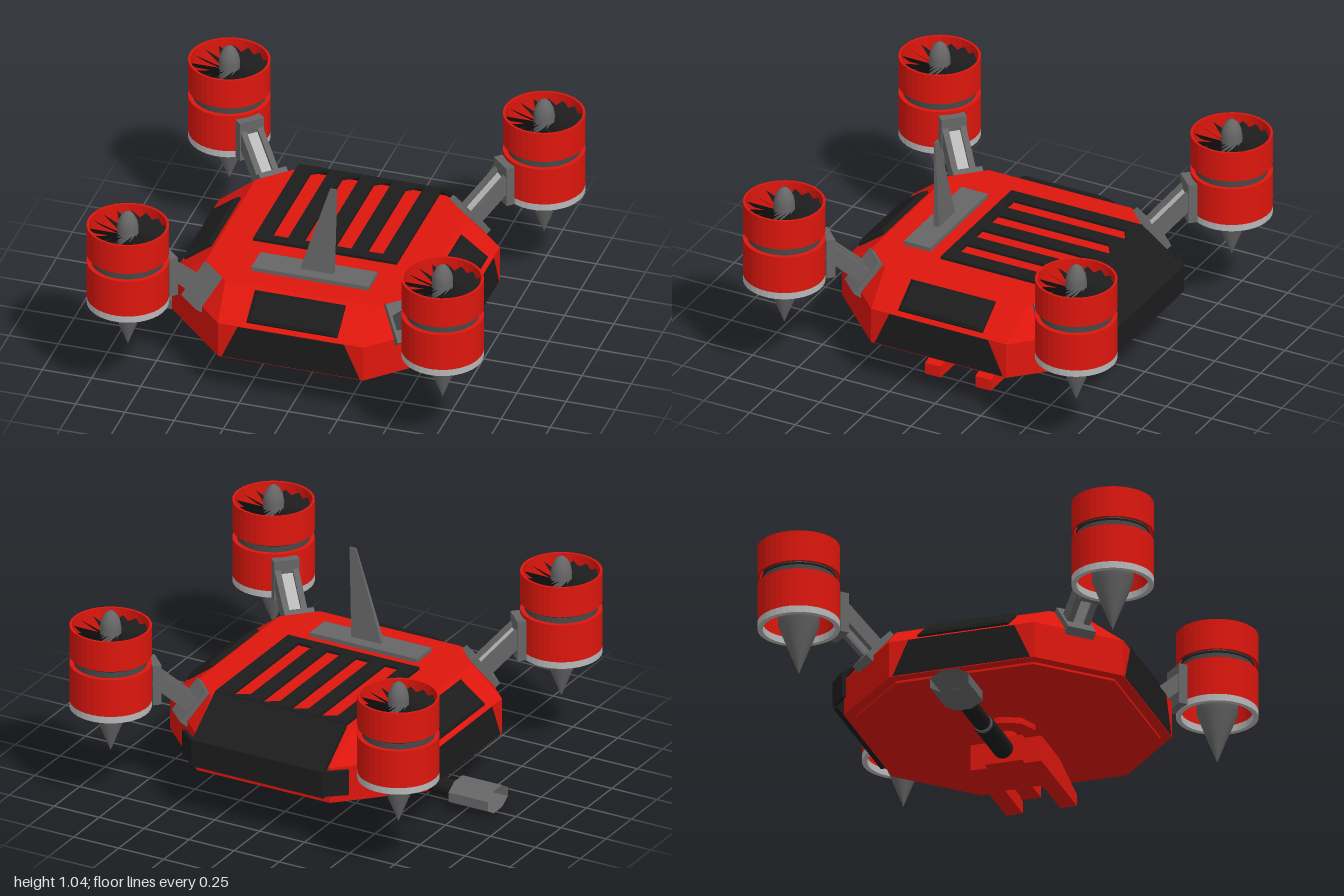
import * as THREE from 'three';

const mat = (color) => new THREE.MeshStandardMaterial({ color, side: THREE.DoubleSide });
const RED = mat(0xdd160d), BLACK = mat(0x1c1c1c), GREY = mat(0x666666), DARK = mat(0x484848), LIGHT = mat(0xb8b8b8);

function add(parent, name, geometry, material, x = 0, y = 0, z = 0) {
  const m = new THREE.Mesh(geometry, material);
  m.name = name;
  m.position.set(x, y, z);
  parent.add(m);
  return m;
}
const box = (w, h, d) => new THREE.BoxGeometry(w, h, d);

// Closed faceted solid through rings, each counter-clockwise seen from above
function loft(rings) {
  const p = [], n = rings[0].length;
  const tri = (...v) => v.forEach((c) => p.push(...c));
  for (let k = 0; k < rings.length - 1; k++) {
    const a = rings[k], b = rings[k + 1];
    for (let i = 0; i < n; i++) {
      const j = (i + 1) % n;
      tri(a[i], a[j], b[j]);
      tri(a[i], b[j], b[i]);
    }
  }
  const lo = rings[0], hi = rings[rings.length - 1];
  for (let i = 1; i < n - 1; i++) {
    tri(hi[0], hi[i], hi[i + 1]);
    tri(lo[0], lo[i + 1], lo[i]);
  }
  const g = new THREE.BufferGeometry();
  g.setAttribute('position', new THREE.Float32BufferAttribute(p, 3));
  g.computeVertexNormals();
  return g;
}
const octagon = (a, b, y) => [[a, y, b], [a, y, -b], [b, y, -a], [-b, y, -a], [-a, y, -b], [-a, y, b], [-b, y, a], [b, y, a]];
const rect = (x0, x1, z, y) => [[x1, y, z], [x1, y, -z], [x0, y, -z], [x0, y, z]];
const poly = (pts) => new THREE.Shape(pts.map(([x, y]) => new THREE.Vector2(x, y)));
const extrude = (shape, depth) => new THREE.ExtrudeGeometry(shape, { depth, bevelEnabled: false });

function buildHull(root) {
  const hull = new THREE.Group();
  hull.name = 'hull';
  root.add(hull);
  add(hull, 'hullShell', loft([octagon(0.66, 0.35, 0.212), octagon(0.66, 0.35, 0.224), octagon(0.713, 0.37, 0.224),
    octagon(0.713, 0.37, 0.41), octagon(0.535, 0.39, 0.545)]), RED);

  // Dark panels on the front and both flanks
  for (const turn of [0, 1, -1]) {
    const side = new THREE.Group();
    side.name = 'sidePanels';
    side.rotation.y = turn * Math.PI / 2;
    hull.add(side);
    add(side, 'lowerPanel', extrude(poly([[-0.35, 0.228], [0.35, 0.228], [0.27, 0.408], [-0.27, 0.408]]), 0.004), BLACK, 0, 0, 0.712);
    const upper = add(side, 'upperPanel', loft([rect(-0.23, 0.23, 0.085, -0.005), rect(-0.23, 0.23, 0.085, 0.01),
      rect(-0.21, 0.21, 0.07, 0.022)]), BLACK, 0, 0.478, 0.625);
    upper.rotation.x = Math.atan2(0.135, 0.18);
  }

  // Slotted deck plate
  const deck = poly([[-0.365, -0.175], [0.365, -0.175], [0.365, 0.545], [-0.365, 0.545]]);
  for (let i = 0; i < 4; i++) {
    const x = -0.245 + i * 0.161;
    deck.holes.push(poly([[x - 0.04, -0.12], [x - 0.04, 0.485], [x + 0.04, 0.535], [x + 0.04, -0.12]]));
  }
  add(hull, 'deckPlate', extrude(deck, 0.014).rotateX(-Math.PI / 2), BLACK, 0, 0.564, 0);

  // Rear cowl folding down over the back, with corner flaps
  const cowl = extrude(poly([[0.54, 0.578], [0.77, 0.41], [0.77, 0.27], [0.745, 0.27], [0.745, 0.4], [0.54, 0.555]]), 0.73);
  add(hull, 'rearCowl', cowl.rotateY(Math.PI / 2), BLACK, -0.365, 0, 0);
  for (const s of [1, -1]) {
    const flap = add(hull, 'cowlFlap', box(0.13, 0.13, 0.02), BLACK, s * 0.408, 0.345, -0.725);
    flap.rotation.y = -s * 0.69;
  }

  // Antenna fin on its base plate
  add(hull, 'finBase', box(0.595, 0.022, 0.145), GREY, 0, 0.555, 0.34);
  add(hull, 'fin', loft([rect(-0.07, 0.1, 0.014, 0.56), rect(0.08, 0.115, 0.004, 1.04)]), GREY, 0, 0, 0.34);
}

const lathe = (pts, n = 32) => new THREE.LatheGeometry(pts.map(([r, y]) => new THREE.Vector2(r, y)), n);

// One rotor pod with its arm; local +z is radially outward
function buildRotor(root, angle) {
  const unit = new THREE.Group();
  unit.name = 'rotorUnit';
  unit.rotation.y = angle;
  root.add(unit);
  const pod = new THREE.Group();
  pod.name = 'rotorPod';
  pod.position.z = 1.131;
  unit.add(pod);

  const ring = (r, ri, y0, y1) => {
    const s = new THREE.Shape().absarc(0, 0, r, 0, Math.PI * 2);
    s.holes.push(new THREE.Path().absarc(0, 0, ri, 0, Math.PI * 2, true));
    return new THREE.ExtrudeGeometry(s, { depth: y1 - y0, bevelEnabled: false, curveSegments: 18 }).rotateX(-Math.PI / 2).translate(0, y0, 0);
  };
  add(pod, 'upperDuct', ring(0.2, 0.188, 0.782, 0.94), RED);
  add(pod, 'ductGroove', ring(0.178, 0.168, 0.735, 0.785), DARK);
  add(pod, 'lowerDuct', ring(0.2, 0.175, 0.54, 0.738), RED);
  add(pod, 'lowerRim', ring(0.2, 0.175, 0.505, 0.54), LIGHT);
  add(pod, 'fanDisc', new THREE.CylinderGeometry(0.18, 0.18, 0.01, 32), BLACK, 0, 0.775, 0);
  add(pod, 'hub', lathe([[0.05, 0.76], [0.052, 0.93], [0.046, 0.965], [0.03, 0.998], [0.012, 1.013], [0, 1.016]], 20), GREY);
  add(pod, 'tailCone', lathe([[0, 0.265], [0.1, 0.52], [0.1, 0.6], [0.05, 0.77]], 24), GREY);

  // Pitched fan blades
  const blade = new THREE.PlaneGeometry(0.145, 0.1).rotateX(-Math.PI / 2 + 0.75).translate(0.115, 0.87, 0);
  for (let i = 0; i < 16; i++) add(pod, 'fanBlade', blade, BLACK).rotation.y = i * Math.PI / 8;

  // Arm: foot on the hull, twin rails with a web, bracket on the duct
  const foot = add(unit, 'armFoot', box(0.15, 0.045, 0.2), GREY, 0, 0.47, 0.722);
  foot.rotation.x = Math.atan2(0.135, 0.113);
  add(unit, 'armBracket', box(0.13, 0.21, 0.045), GREY, 0, 0.615, 0.915);
  const arm = new THREE.Group();
  arm.name = 'arm';
  arm.position.set(0, 0.555, 0.82);
  arm.rotation.x = -Math.atan2(0.17, 0.19);
  unit.add(arm);
  for (const s of [1, -1]) add(arm, 'armRail', box(0.03, 0.075, 0.27), GREY, s * 0.045, 0, 0);
  add(arm, 'armWeb', box(0.07, 0.045, 0.26), LIGHT, 0, 0, 0);
}

function buildGun(root) {
  const gun = new THREE.Group();
  gun.name = 'gunTurret';
  root.add(gun);
  add(gun, 'turretDisc', new THREE.CylinderGeometry(0.14, 0.14, 0.035, 8), RED, 0, 0.198, 0);
  add(gun, 'turretPost', new THREE.CylinderGeometry(0.045, 0.045, 0.08, 8), RED, 0, 0.155, 0);
  add(gun, 'receiver', box(0.31, 0.135, 0.19), RED, 0.085, 0.0675, 0);

  // Tapered side cheeks and short centre spine
  const cheek = extrude(poly([[-0.03, 0], [0.515, 0], [0.515, 0.06], [0.245, 0.135], [-0.03, 0.135]]), 0.085);
  for (const z of [0.095, -0.18]) add(gun, 'cheek', cheek, RED, 0, 0, z);
  add(gun, 'spine', box(0.14, 0.135, 0.09), RED, 0.3, 0.0675, 0);

  // Barrel sections along -x
  const tube = (name, x0, x1, r, m, n = 16, open = false) => {
    const g = new THREE.CylinderGeometry(r, r, x1 - x0, n, 1, open).rotateY(Math.PI / n).rotateZ(Math.PI / 2);
    return add(gun, name, g, m, (x0 + x1) / 2, 0.07, 0);
  };
  tube('barrelSleeve', -0.37, -0.06, 0.05, BLACK);
  tube('barrelCollar', -0.395, -0.37, 0.046, GREY);
  tube('barrel', -0.7, -0.395, 0.043, BLACK);
  const muzzle = tube('muzzle', -0.9, -0.68, 0.064, GREY, 8, true);
  muzzle.geometry = muzzle.geometry.toNonIndexed();
  muzzle.geometry.computeVertexNormals();
  muzzle.scale.z = 1.65;
  add(gun, 'muzzleBack', new THREE.CircleGeometry(0.064, 8).rotateZ(Math.PI / 8).rotateY(Math.PI / 2), DARK, -0.685, 0.07, 0).scale.z = 1.65;
}

export function createModel() {
  const root = new THREE.Group();
  root.name = 'quadRotorDrone';
  buildHull(root);
  for (let i = 0; i < 4; i++) buildRotor(root, Math.PI / 4 + i * Math.PI / 2);
  buildGun(root);
  return root;
}
